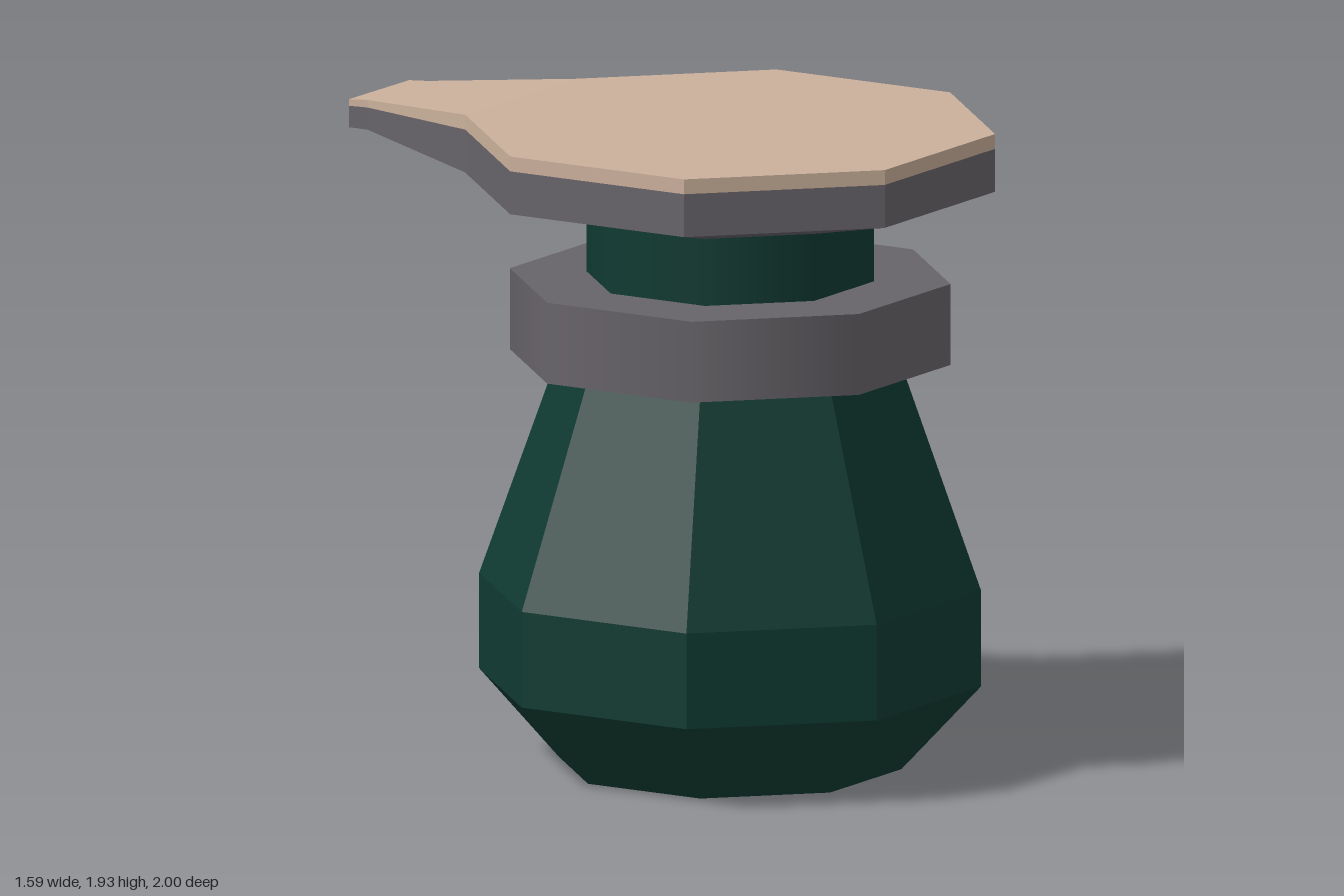
import * as THREE from 'three';

const SIDES = 8;

// Split the faces apart so each facet is shaded flat
function faceted(geometry) {
  const g = geometry.index ? geometry.toNonIndexed() : geometry;
  g.computeVertexNormals();
  return g;
}

// Solid from four-cornered sections, closed at its far end
function loft(sections) {
  const pos = [];
  const push = (...points) => points.forEach((p) => pos.push(...p));
  for (let s = 0; s < sections.length - 1; s++) {
    const a = sections[s], b = sections[s + 1];
    for (let i = 0; i < 4; i++) {
      const j = (i + 1) % 4;
      push(a[i], b[j], a[j], a[i], b[i], b[j]);
    }
  }
  const e = sections[sections.length - 1];
  push(e[0], e[3], e[2], e[0], e[2], e[1]);
  const g = new THREE.BufferGeometry();
  g.setAttribute('position', new THREE.Float32BufferAttribute(pos, 3));
  return faceted(g);
}

// Octagonal solid of revolution from [radius, height] pairs
function turned(profile) {
  return faceted(new THREE.LatheGeometry(profile.map(([r, y]) => new THREE.Vector2(r, y)), SIDES));
}

export function createModel() {
  const green = new THREE.MeshStandardMaterial({ color: 0x103b32 });
  green.name = 'dark green';
  const grey = new THREE.MeshStandardMaterial({ color: 0x68646a });
  grey.name = 'warm grey';
  const tan = new THREE.MeshStandardMaterial({ color: 0xcbb09b });
  tan.name = 'tan';

  const model = new THREE.Group();
  model.name = 'model';
  const add = (name, geometry, material, z = 0, y = 0) => {
    const mesh = new THREE.Mesh(geometry, material);
    mesh.name = name;
    mesh.position.set(0, y, z);
    model.add(mesh);
  };
  const Z = 0.2; // axis of the round parts

  // Bulging faceted body, with a smooth neck and collar
  add('body', turned([[0, 0], [0.515, 0], [0.755, 0.26], [0.755, 0.55], [0.51, 1.24], [0, 1.24]]), green, Z);
  add('neck', new THREE.CylinderGeometry(0.433, 0.433, 0.46, SIDES), green, Z, 1.45);
  add('collar', new THREE.CylinderGeometry(0.663, 0.663, 0.245, SIDES), grey, Z, 1.353);

  // Lid: grey flared rim under a tan top plate
  add('lidRim', turned([[0, 1.68], [0.44, 1.68], [0.797, 1.76], [0.797, 1.89]]), grey, Z);
  add('lidTop', turned([[0.797, 1.89], [0.797, 1.935], [0, 1.935]]), tan, Z);

  // Spout stations: left point, right point, then bottom, seam and top heights
  const stations = [
    { l: [-0.563, -0.363], r: [0, -0.597], y: [1.76, 1.89, 1.935] },
    { l: [-0.597, -0.82], r: [-0.295, -0.94], y: [1.815, 1.882, 1.905] },
    { l: [-0.622, -0.88], r: [-0.32, -1.0], y: [1.815, 1.88, 1.9] },
  ];
  const layer = (k) => loft(stations.map(({ l, r, y }) => [
    [l[0], y[k], l[1]], [r[0], y[k], r[1]],
    [r[0], y[k + 1], r[1]], [l[0], y[k + 1], l[1]],
  ]));
  add('spoutBase', layer(0), grey);
  add('spoutTop', layer(1), tan);

  return model;
}
